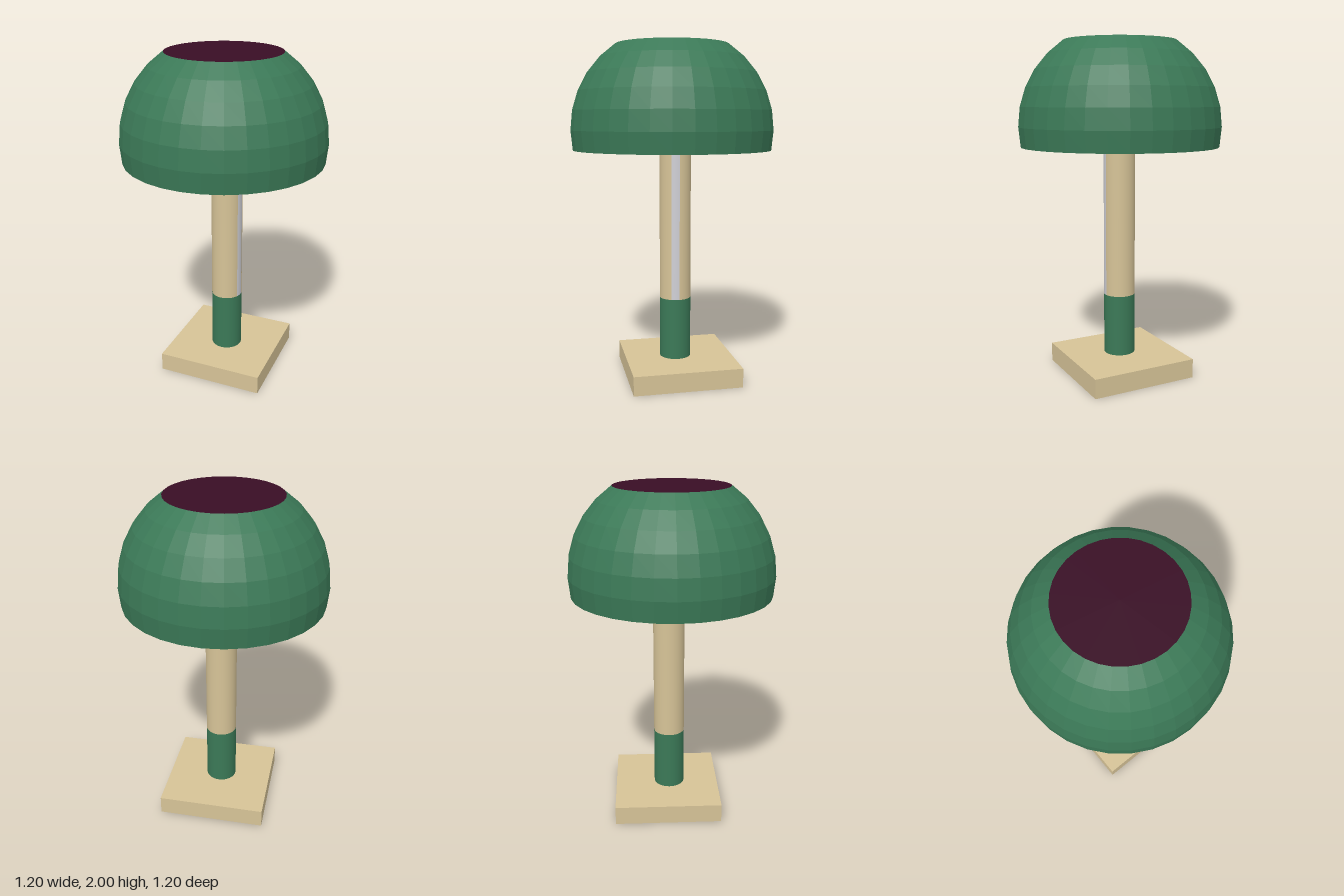
import * as THREE from 'three';

const material = (name, color) => {
  const m = new THREE.MeshStandardMaterial({ color });
  m.name = name;
  return m;
};

export function createModel() {
  const green = material('leaf green', 0x3b7957);
  const tan = material('light tan', 0xd6c397);
  const maroon = material('dark maroon', 0x390e25);
  const grey = material('pale grey', 0xd0d0d6);

  const model = new THREE.Group();
  model.name = 'domedPost';
  const add = (name, geometry, mat, x, y, z) => {
    const mesh = new THREE.Mesh(geometry, mat);
    mesh.name = name;
    mesh.position.set(x, y, z);
    model.add(mesh);
    return mesh;
  };
  const rad = THREE.MathUtils.degToRad;

  // square base, slightly off centre
  add('base', new THREE.BoxGeometry(0.65, 0.115, 0.65), tan, 0.016, 0.0575, -0.033);

  // round stem: green foot, tan shaft with a narrow grey stripe on its left side
  const stem = (name, mat, y0, y1, from, sweep) => {
    const segments = Math.max(2, Math.round(sweep / 10));
    const geometry = new THREE.CylinderGeometry(0.094, 0.094, y1 - y0, segments, 1, true, rad(from), rad(sweep));
    add(name, geometry, mat, 0.013, (y0 + y1) / 2, -0.017);
  };
  stem('stemFoot', green, 0.115, 0.485, 0, 360);
  stem('stemShaft', tan, 0.485, 1.383, 95, 330);
  stem('stemStripe', grey, 0.485, 1.383, 65, 30);

  // faceted dome, cut off flat above and below
  const R = 0.6, centreY = 1.501, top = rad(33.75), bottom = rad(101.25);
  const dome = new THREE.SphereGeometry(R, 32, 6, 0, Math.PI * 2, top, bottom - top).toNonIndexed();
  dome.computeVertexNormals();
  add('dome', dome, green, 0, centreY, 0);

  const cap = (name, mat, angle, tilt) => {
    const disc = new THREE.CircleGeometry(R * Math.sin(angle), 32).rotateX(tilt);
    add(name, disc, mat, 0, centreY + R * Math.cos(angle), 0);
  };
  cap('domeTop', maroon, top, -Math.PI / 2);
  cap('domeUnderside', green, bottom, Math.PI / 2);

  return model;
}
